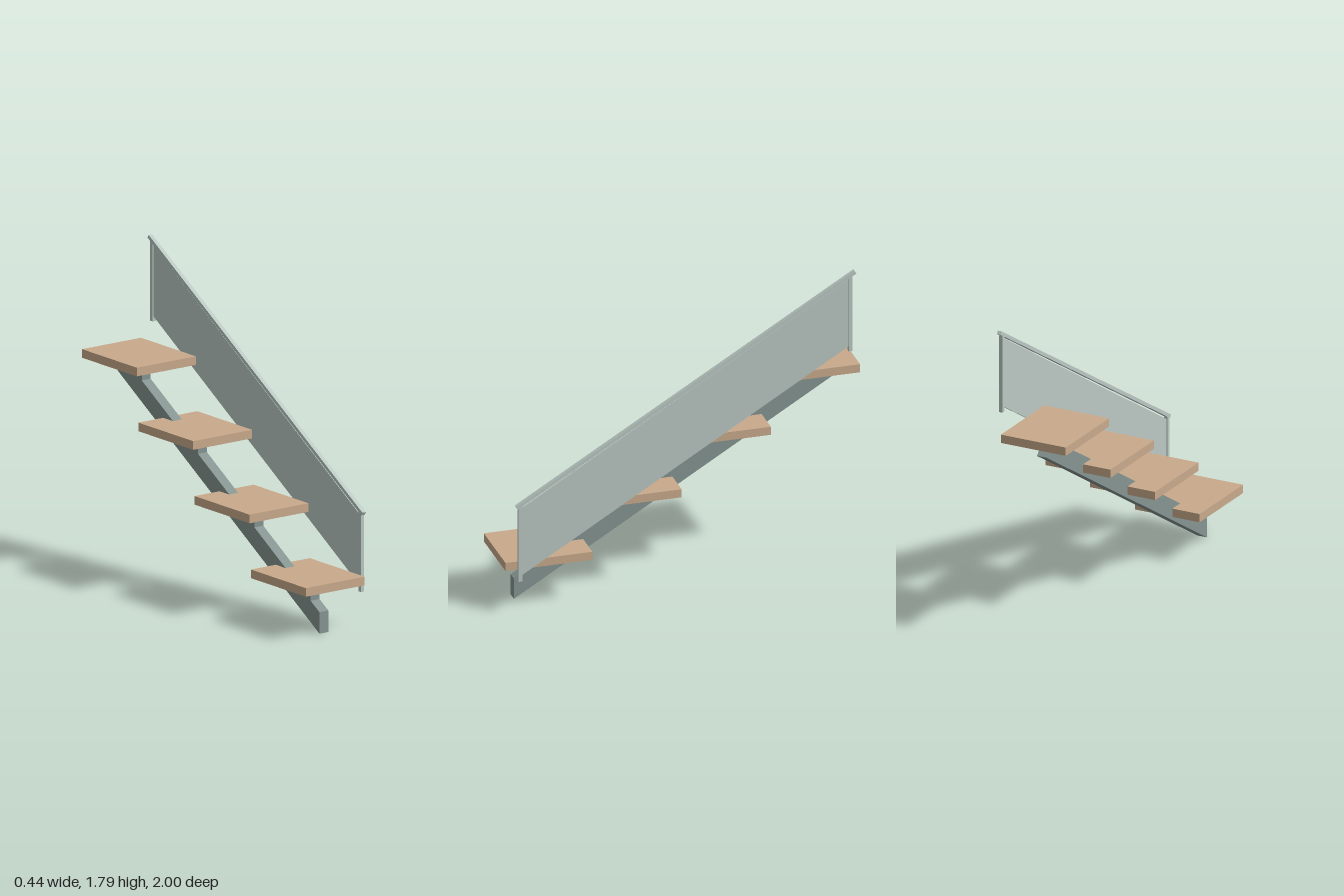
import * as THREE from 'three';

const wood = new THREE.MeshStandardMaterial({ color: 0xc9aa8c });
wood.name = 'wood';
const steel = new THREE.MeshStandardMaterial({ color: 0x869592 });
steel.name = 'steel';
const paleMetal = new THREE.MeshStandardMaterial({ color: 0xbbc9c4 });
paleMetal.name = 'paleMetal';

const STEPS = 4, RUN = 0.503, RISE = 0.303, SLOPE = RISE / RUN;

// Extrudes a side outline given as [z, y] points across the width, centred on x
function sidePlate(name, points, x, width, material) {
  const shape = new THREE.Shape(points.map(([z, y]) => new THREE.Vector2(z, y)));
  const geometry = new THREE.ExtrudeGeometry(shape, { depth: width, bevelEnabled: false });
  geometry.translate(0, 0, -width / 2).rotateY(-Math.PI / 2);
  const mesh = new THREE.Mesh(geometry, material);
  mesh.name = name;
  mesh.position.x = x;
  return mesh;
}

export function createModel() {
  const group = new THREE.Group();
  group.name = 'staircase';

  // Treads
  for (let i = 0; i < STEPS; i++) {
    const tread = new THREE.Mesh(new THREE.BoxGeometry(0.398, 0.048, 0.49), wood);
    tread.name = 'tread';
    tread.position.set(-0.023, 0.278 + i * RISE, 0.755 - i * RUN);
    group.add(tread);
  }

  // Central stringer: sloping beam with a bracket step under each tread
  const front = 0.9, back = -0.905;
  const beamTop = z => 0.12 + (front - z) * SLOPE;
  const outline = [[front, 0], [front, 0.12]];
  for (let i = 0; i < STEPS; i++) {
    const z = 0.822 - i * RUN, y = 0.255 + i * RISE;
    const meet = front - (y - 0.12) / SLOPE;
    outline.push([z, beamTop(z)], [z, y], [Math.max(meet, back), y]);
  }
  outline.push([back, (front - back) * SLOPE]);
  group.add(sidePlate('stringer', outline, -0.0245, 0.06, steel));

  // Railing on the left side: posts, infill panel and handrail
  const railX = 0.207;
  const line = (z, y) => y + (0.917 - z) * SLOPE;
  for (const [z, y0, y1] of [[0.928, 0.2, 0.645], [-0.933, 1.315, 1.76]]) {
    const post = new THREE.Mesh(new THREE.BoxGeometry(0.022, y1 - y0, 0.022), paleMetal);
    post.name = 'post';
    post.position.set(railX, (y0 + y1) / 2, z);
    group.add(post);
  }
  const a = 0.92, b = -0.925;
  group.add(sidePlate('panel',
    [[a, line(a, 0.235)], [a, line(a, 0.631)], [b, line(b, 0.631)], [b, line(b, 0.235)]],
    railX, 0.01, paleMetal));
  group.add(sidePlate('handrail',
    [[0.944, 0.629], [0.954, 0.646], [-0.955, 1.79], [-0.965, 1.773]],
    railX, 0.024, paleMetal));

  // Outlines may run either way round, so the extrusions rely on Shape's own winding fix
  return group;
}
